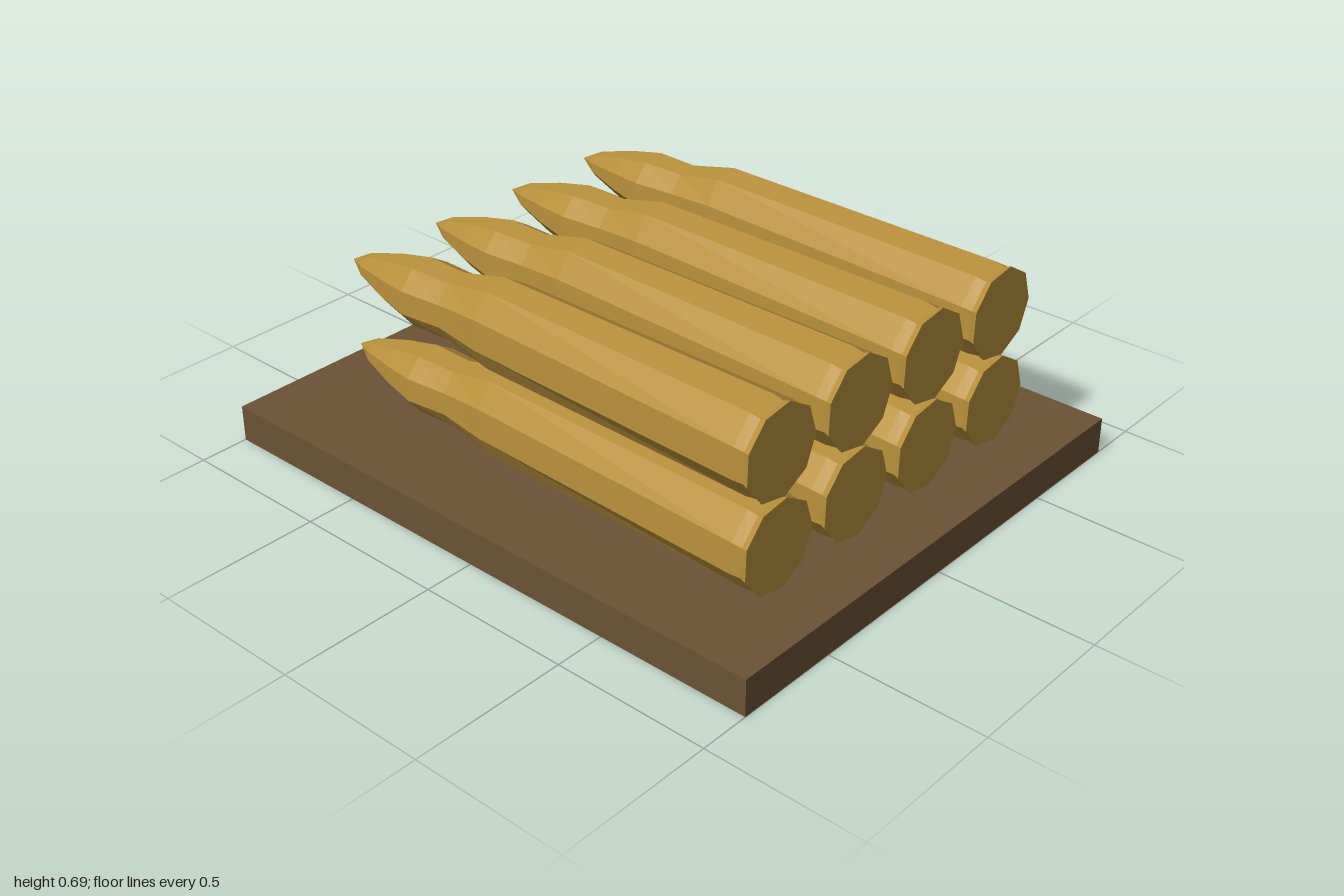
import * as THREE from 'three';

// Cross-sections from base to tip: z, radius, squeeze of the -x side
const SECTIONS = [
  [0.825, 0.143, 1],
  [0.805, 0.136, 1],
  [0.77, 0.142, 0.97],
  [-0.2, 0.142, 0.74],
  [-0.36, 0.105, 0.87],
  [-0.5, 0.107, 1],
  [-0.62, 0.081, 1],
  [-0.75, 0.042, 1],
];
const SIDES = 9;
const PHASE = THREE.MathUtils.degToRad(-82);

// Faceted shell lying along z, with its point toward -z
function shellGeometry() {
  const positions = [];
  const index = [];
  for (const [z, r, squeeze] of SECTIONS) {
    for (let i = 0; i < SIDES; i++) {
      const a = PHASE + (i / SIDES) * Math.PI * 2;
      const x = r * Math.cos(a);
      positions.push(x < 0 ? x * squeeze : x, r * Math.sin(a), z);
    }
  }
  const base = positions.length / 3;
  const tip = base + 1;
  positions.push(0, 0, 0.825, 0, 0, -0.825);

  const last = (SECTIONS.length - 1) * SIDES;
  for (let i = 0; i < SIDES; i++) {
    const n = (i + 1) % SIDES;
    index.push(base, i, n);
    for (let row = 0; row < last; row += SIDES) {
      const a = row + i, b = row + n;
      index.push(a, a + SIDES, b, b, a + SIDES, b + SIDES);
    }
    index.push(last + i, tip, last + n);
  }

  const indexed = new THREE.BufferGeometry();
  indexed.setAttribute('position', new THREE.Float32BufferAttribute(positions, 3));
  indexed.setIndex(index);
  const geometry = indexed.toNonIndexed();
  geometry.computeVertexNormals();
  return geometry;
}

export function createModel() {
  const model = new THREE.Group();
  model.name = 'shellStack';

  const wood = new THREE.MeshStandardMaterial({ color: 0x6b5235, flatShading: true });
  const brass = new THREE.MeshStandardMaterial({ color: 0xb8903c, flatShading: true });

  // Wooden board
  const board = new THREE.Mesh(new THREE.BoxGeometry(1.68, 0.118, 2), wood);
  board.name = 'board';
  board.position.y = 0.059;
  model.add(board);

  // Two layers of four shells
  const geometry = shellGeometry();
  [0.263, 0.553].forEach((y, layer) => {
    const row = new THREE.Group();
    row.name = layer === 0 ? 'lowerShells' : 'upperShells';
    for (let i = 0; i < 4; i++) {
      const shell = new THREE.Mesh(geometry, brass);
      shell.name = 'shell';
      shell.position.set(-0.501 + i * 0.333, y, 0);
      row.add(shell);
    }
    model.add(row);
  });

  return model;
}
